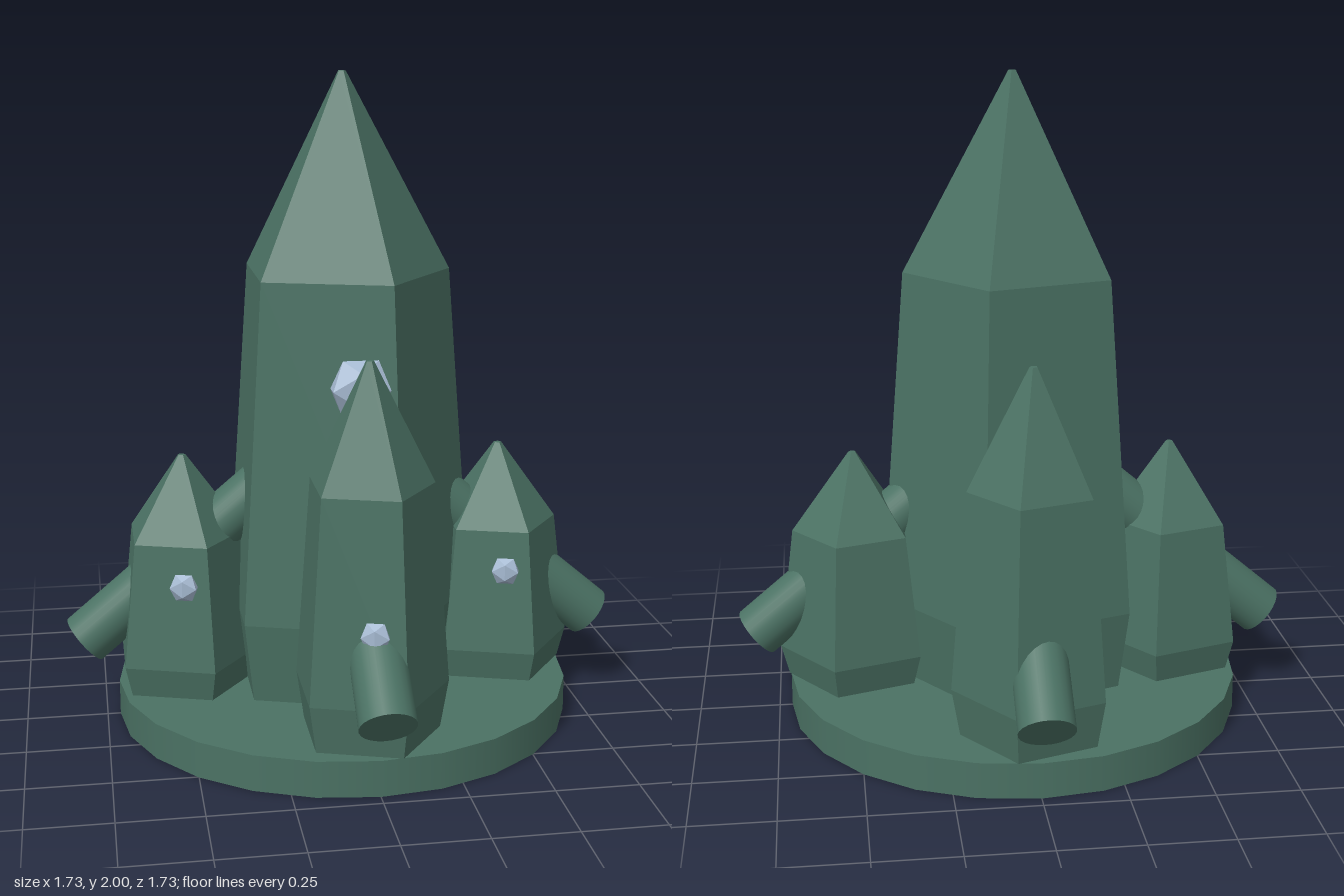
import * as THREE from 'three';

const green = new THREE.MeshStandardMaterial({ color: 0x4b7264 });
green.name = 'mossGreen';
const greenFlat = green.clone();
greenFlat.flatShading = true;
greenFlat.name = 'mossGreenFaceted';
const blue = new THREE.MeshStandardMaterial({ color: 0xa6bad2, flatShading: true });
blue.name = 'paleBlue';

const BASE = 0.11;

function addMesh(parent, name, geometry, material) {
  const mesh = new THREE.Mesh(geometry, material);
  mesh.name = name;
  parent.add(mesh);
  return mesh;
}

// Five-sided spire with one edge facing +x; profile is [radius, y] from the bottom up
function spire(parent, name, profile) {
  const points = profile.map(([r, y]) => new THREE.Vector2(r, y));
  return addMesh(parent, name, new THREE.LatheGeometry(points, 5, Math.PI / 2), greenFlat);
}

// Flattened faceted stone
function gem(parent, name, radius, x, y, z, turn) {
  const mesh = addMesh(parent, name, new THREE.IcosahedronGeometry(radius, 0), blue);
  mesh.position.set(x, y, z);
  mesh.scale.z = 0.55;
  mesh.rotation.y = turn;
}

export function createModel() {
  const model = new THREE.Group();
  model.name = 'crystalCluster';

  // Round base
  addMesh(model, 'base', new THREE.CylinderGeometry(0.71, 0.71, BASE, 24), green).position.y = BASE / 2;

  // Tall central spire with its large gem
  spire(model, 'mainSpire', [[0, BASE], [0.38, BASE], [0.415, 0.36], [0.335, 1.4], [0.012, 2], [0, 2]]);
  gem(model, 'mainGem', 0.1, 0, 1.105, 0.352, 0);

  // Four outer spires: [name, x, z, shoulder height, top height]
  const outer = [
    ['front', 0, 0.5, 0.86, 1.22],
    ['back', 0, -0.5, 0.86, 1.22],
    ['left', 0.5, 0, 0.59, 0.84],
    ['right', -0.5, 0, 0.59, 0.84],
  ];
  for (const [name, x, z, shoulder, top] of outer) {
    const waist = BASE + (top - BASE) * 0.13;
    const shard = spire(model, name + 'Spire',
      [[0, BASE], [0.215, BASE], [0.24, waist], [0.192, shoulder], [0.012, top], [0, top]]);
    shard.position.set(x, 0, z);

    // Small gem set into the front face (the back spire's would be buried)
    if (name !== 'back') {
      gem(model, name + 'Gem', 0.048, x - 0.013, 0.47, z + 0.183, -Math.PI / 10);
    }

    // Sloping round rod running from the main spire out through the outer one
    const dir = new THREE.Vector3(x, 0, z).normalize();
    const outerEnd = dir.clone().multiplyScalar(0.813).setY(0.256);
    const axis = dir.clone().multiplyScalar(-Math.cos(0.7)).setY(Math.sin(0.7));
    const length = 0.78;
    const rod = addMesh(model, name + 'Rod', new THREE.CylinderGeometry(0.083, 0.083, length, 24), green);
    rod.position.copy(outerEnd).addScaledVector(axis, length / 2);
    rod.quaternion.setFromUnitVectors(new THREE.Vector3(0, 1, 0), axis);
  }

  return model;
}
